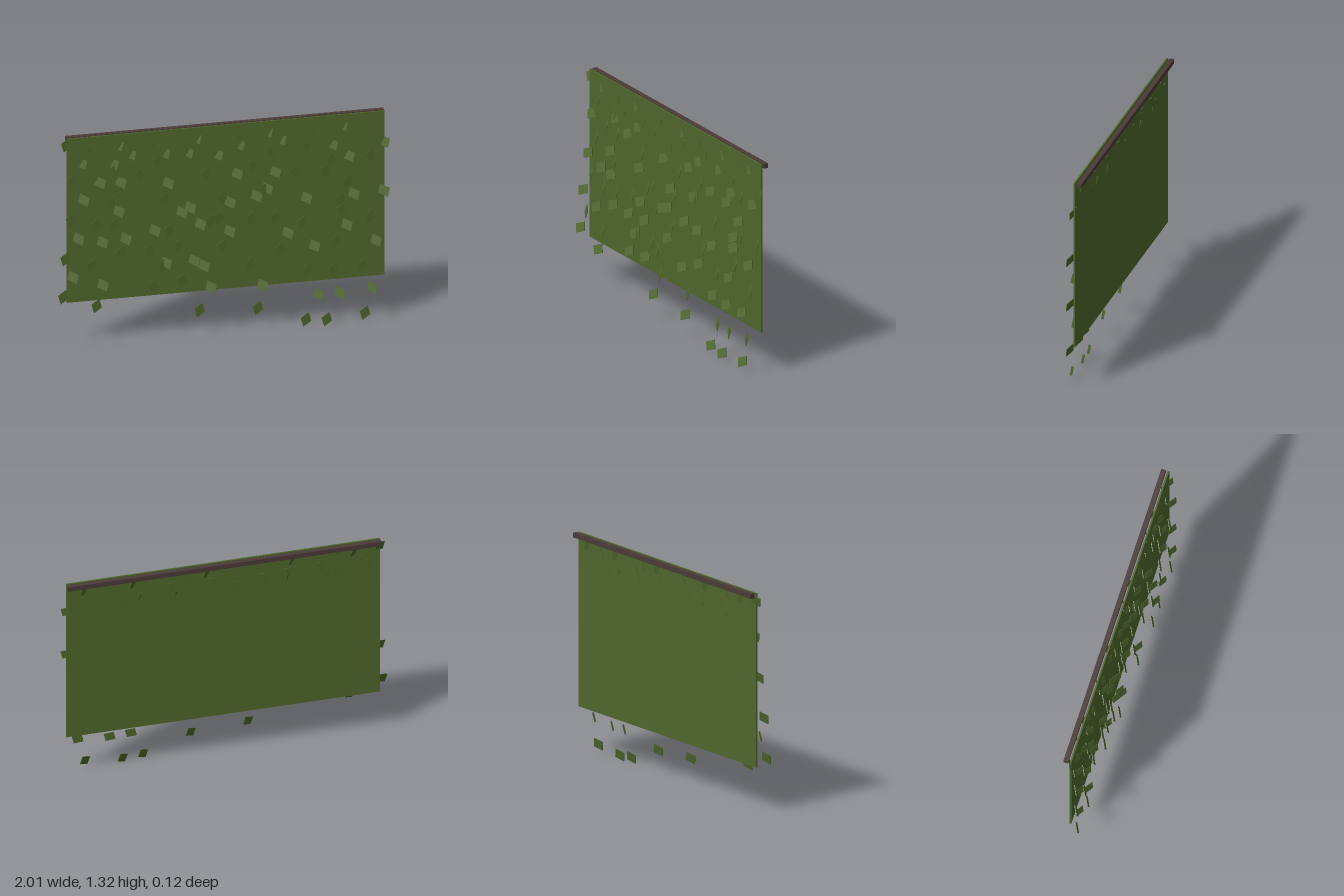
import * as THREE from 'three';
import { mergeGeometries } from 'three/addons/utils/BufferGeometryUtils.js';

// Leaf centres [x, y], grouped by the side the leaf turns to
const RIGHT_TURNED = [
  [-0.94, 1.28], [-0.92, 0.81], [-0.955, 0.57], [-0.97, 0.33], [-0.77, 0.255], [-0.8, 0.51], [-0.62, 0.58],
  [-0.66, 0.755], [-0.77, 0.765], [-0.68, 0.895], [-0.45, 0.58], [-0.43, 0.35], [-0.33, 0.69], [-0.255, 0.37],
  [-0.275, 0.59], [-0.37, 0.48], [-0.15, 0.17], [-0.08, 0.73], [-0.03, 0.745], [-0.01, 0.565], [-0.01, 0.87],
  [0.2, 0.15], [0.155, 0.435], [0.335, 0.51], [0.47, 0.665], [0.5, 0.365], [0.67, 0.53], [0.655, 0.355],
  [0.705, 0.725], [0.745, 0.9], [0.825, 0.36], [0.88, 0.67], [0.49, 0.05], [0.615, 0.04], [0.845, 0.06],
  [-0.9, 1.06], [-0.5, 1.06], [-0.36, 0.89], [-0.1, 1.03], [0.16, 0.72], [0.305, 0.71], [0.25, 0.9],
  [0.18, 1.06], [0.43, 0.99], [0.61, 0.98], [0.65, 1.05], [0.89, 1.05], [0.7, 0.79], [-0.64, 1.11],
  [-0.39, 1.13], [0.29, 1.13], [0.51, 1.15],
];
const LEFT_TURNED = [
  [-0.875, 0.69], [-0.91, 0.45], [-0.84, 0.93], [-0.74, 1.03], [-0.73, 0.655], [-0.73, 0.385], [-0.66, 1.14],
  [-0.615, 1.02], [-0.63, 0.84], [-0.59, 0.665], [-0.555, 1.19], [-0.415, 0.7], [-0.35, 0.49], [-0.33, 0.99],
  [-0.25, 0.8], [-0.2, 0.825], [-0.18, 0.49], [-0.14, 0.715], [-0.12, 0.45], [-0.08, 0.31], [-0.03, 1.14],
  [0.04, 0.835], [0.035, 0.655], [0.085, 1.01], [0.1, 1.19], [0.2, 0.86], [0.23, 0.295], [0.265, 0.9],
  [0.315, 1.0], [0.385, 0.61], [0.5, 0.82], [0.545, 0.515], [0.74, 0.63], [0.785, 0.82], [0.965, 0.825],
  [0.97, 1.13], [0.915, 0.515], [0.565, 0.205], [0.695, 0.2], [0.89, 0.215], [-0.85, 1.16], [-0.35, 1.18],
  [-0.21, 1.17], [0.35, 1.2], [0.66, 1.14], [0.76, 1.06],
];
// Topmost row, mostly sunk into the panel
const TOP_ROW = [-0.79, -0.63, -0.41, -0.16, 0.11, 0.27, 0.56, 0.72, 0.86];

// One thin leaf on a tilted basis; side = 1 or -1 mirrors it
function leafGeometry([x, y], side) {
  const u = new THREE.Vector3(0.052, 0.021 * side, -0.027 * side);
  const v = new THREE.Vector3(-0.014 * side, 0.053, -0.007);
  const n = new THREE.Vector3().crossVectors(u, v).normalize().multiplyScalar(0.004);
  const z = 0.04 - 0.036 * y * y; // the foliage leans back towards the top
  const matrix = new THREE.Matrix4().makeBasis(u, v, n).setPosition(x, y, z);
  return new THREE.BoxGeometry(1, 1, 1).applyMatrix4(matrix);
}

export function createModel() {
  const group = new THREE.Group();
  const foliage = new THREE.MeshStandardMaterial({ name: 'foliage green', color: 0x4f672c });
  const wood = new THREE.MeshStandardMaterial({ name: 'dark wood', color: 0x4a3b37 });

  const add = (name, geometry, material, x = 0, y = 0, z = 0) => {
    const mesh = new THREE.Mesh(geometry, material);
    mesh.name = name;
    mesh.position.set(x, y, z);
    group.add(mesh);
  };

  // Hanging sheet of foliage and the rail behind its top edge
  add('foliagePanel', new THREE.BoxGeometry(1.914, 1.052, 0.01), foliage, 0.017, 0.798, -0.013);
  add('topRail', new THREE.BoxGeometry(1.914, 0.029, 0.029), wood, 0.017, 1.31, -0.042);

  // Loose leaves
  const topRow = TOP_ROW.map((x, i) => leafGeometry([x, 1.255], i % 2 ? -1 : 1));
  add('rightTurnedLeaves', mergeGeometries(RIGHT_TURNED.map((p) => leafGeometry(p, 1))), foliage);
  add('leftTurnedLeaves', mergeGeometries(LEFT_TURNED.map((p) => leafGeometry(p, -1))), foliage);
  add('topRowLeaves', mergeGeometries(topRow), foliage);
  return group;
}
